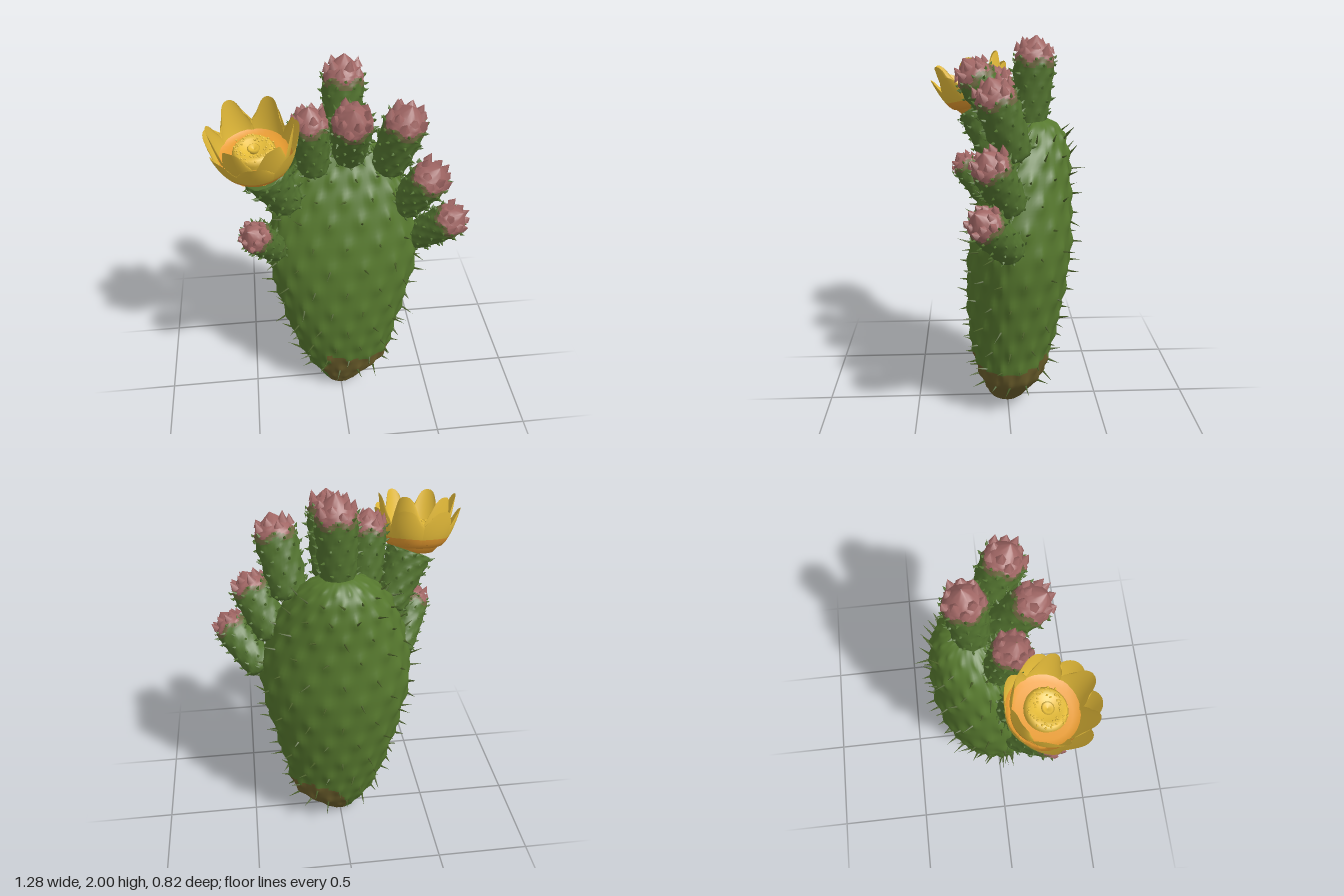
import * as THREE from 'three';
import { mergeGeometries } from 'three/addons/utils/BufferGeometryUtils.js';

const mat = (name, color, side = THREE.FrontSide) => {
  const m = new THREE.MeshStandardMaterial({ color, side });
  m.name = name;
  return m;
};
const V = (x, y, z) => new THREE.Vector3(x, y, z);
const UP = V(0, 1, 0);

function seeded(seed) {
  return () => {
    seed = (seed * 16807) % 2147483647;
    return seed / 2147483647;
  };
}

// Diagonal lattice of tubercles, 1 on each node and 0 between
const bump = (u, v, cols, rows) => {
  const p = u * cols, q = (v * rows) / 2;
  return Math.pow(Math.abs(Math.cos(Math.PI * (p + q)) * Math.cos(Math.PI * (p - q))), 3);
};

// Closed skin around the y axis; pick(point) returns the material index of a face
function skin(point, nu, nv, pick) {
  const pos = [], faces = [[], [], []];
  for (let j = 0; j <= nv; j++)
    for (let i = 0; i < nu; i++) pos.push(...point(i / nu, j / nv).toArray());
  for (let j = 0; j < nv; j++)
    for (let i = 0; i < nu; i++) {
      const a = j * nu + i, b = j * nu + ((i + 1) % nu), c = a + nu, d = b + nu;
      const mid = point((i + 0.5) / nu, (j + 0.5) / nv);
      faces[pick(mid)].push(a, c, b, b, c, d);
    }
  const geo = new THREE.BufferGeometry();
  geo.setAttribute('position', new THREE.Float32BufferAttribute(pos, 3));
  geo.setIndex(faces.flat());
  let start = 0;
  faces.forEach((f, i) => {
    if (f.length) geo.addGroup(start, f.length, i);
    start += f.length;
  });
  geo.computeVertexNormals();
  return geo;
}

// Thin cones on the lattice nodes with j0 <= row < j1
function spikes(point, cols, rows, j0, j1, radius, length, lift, rand) {
  const out = [];
  for (let j = j0; j < j1; j++)
    for (let i = 0; i < cols; i++) {
      const u = (i + (j % 2) / 2) / cols, v = j / rows, e = 0.004;
      const p = point(u, v);
      const du = point(u + e, v).sub(p), dv = point(u, v + e).sub(p);
      const dir = dv.cross(du).normalize();
      dir.add(V(rand() - 0.5, rand() - 0.5 + lift, rand() - 0.5).multiplyScalar(0.8)).normalize();
      const h = length * (0.6 + 0.8 * rand());
      const cone = new THREE.ConeGeometry(radius, h, 5, 1, true);
      cone.translate(0, h * 0.42, 0);
      cone.applyQuaternion(new THREE.Quaternion().setFromUnitVectors(UP, dir));
      cone.translate(p.x, p.y, p.z);
      out.push(cone);
    }
  return mergeGeometries(out);
}

// Broad round petal wrapped around the y axis; orange at the foot
function petalGeometry(r0, r1, height, width, flare) {
  const geo = new THREE.PlaneGeometry(1, 1, 12, 8);
  const p = geo.attributes.position;
  for (let i = 0; i < p.count; i++) {
    const s = p.getX(i), t = p.getY(i) + 0.5;
    const w = width * Math.sqrt(Math.sin(Math.PI * (0.16 + 0.68 * t)));
    const r = r0 + (r1 - r0) * Math.pow(t, flare);
    const a = (s * w) / r;
    const rc = r - 0.1 * s * s * t;
    const sag = 0.3 * Math.pow(Math.abs(2 * s), 2.6) * t * t;
    p.setXYZ(i, Math.sin(a) * rc, height * (Math.pow(t, 1.2) - sag), Math.cos(a) * rc);
  }
  geo.clearGroups();
  geo.addGroup(0, 72 * 5, 0);
  geo.addGroup(72 * 5, 72 * 3, 1);
  geo.computeVertexNormals();
  return geo;
}

export function createModel() {
  const green = mat('pad green', 0x56782e);
  const brown = mat('woody brown', 0x6a5d2b);
  const budGreen = mat('bud green', 0x537430);
  const budOlive = mat('bud olive', 0x6d6840);
  const pink = mat('bud pink', 0xa06664);
  const spineMat = mat('spine olive', 0x4c6229);
  const yellow = mat('petal yellow', 0xe8be3a, THREE.DoubleSide);
  const orange = mat('petal orange', 0xea9d30, THREE.DoubleSide);
  const model = new THREE.Group();
  const rand = seeded(71);
  const add = (parent, name, geo, material) => {
    const m = new THREE.Mesh(geo, material);
    m.name = name;
    parent.add(m);
    return m;
  };

  // Main pad: y, left x, right x, front z, back z, z of the edges
  const rows = [
    [0, -0.001, 0.001, 0.001, -0.001, 0], [0.006, -0.075, 0.075, 0.08, -0.065, 0],
    [0.08, -0.125, 0.155, 0.12, -0.125, 0], [0.2, -0.195, 0.265, 0.16, -0.195, 0],
    [0.36, -0.25, 0.3, 0.195, -0.24, 0], [0.54, -0.3, 0.34, 0.21, -0.28, 0],
    [0.73, -0.34, 0.38, 0.21, -0.31, 0], [0.92, -0.37, 0.41, 0.195, -0.33, 0],
    [1.1, -0.355, 0.395, 0.16, -0.33, 0], [1.27, -0.31, 0.345, 0.11, -0.32, -0.02],
    [1.41, -0.25, 0.28, 0.05, -0.31, -0.05], [1.52, -0.165, 0.2, -0.01, -0.28, -0.09],
    [1.58, -0.075, 0.11, -0.06, -0.22, -0.12], [1.598, 0.019, 0.021, -0.119, -0.121, -0.12],
  ];
  const curve = (f) => new THREE.CatmullRomCurve3(rows.map(f), false, 'catmullrom');
  const widths = curve((r) => V(r[1], r[0], r[2]));
  const depths = curve((r) => V(r[3], r[5], r[4]));
  const padPoint = (u, v) => {
    const k = Math.min(1, Math.max(0, v));
    const w = widths.getPoint(k), d = depths.getPoint(k);
    const c = Math.cos(u * 2 * Math.PI), s = Math.sin(u * 2 * Math.PI);
    const fade = Math.min(1, 16 * k * k, 5 * (1 - k));
    const g = 0.017 * fade * bump(u, k, 14, 18);
    return V((w.x + w.z) / 2 + ((w.z - w.x) / 2 + g) * c, Math.max(0, w.y),
      d.y + ((s > 0 ? d.x - d.y : d.y - d.z) + g) * s);
  };
  // Woody patch at the foot, on the left side of the pad
  const woody = (p) => (p.x > -0.09 + 0.45 * Math.max(0, -p.z) + 0.02 * Math.sin(30 * p.y) &&
    p.y < 0.3 + 0.025 * Math.sin(14 * p.x + 9 * p.z + 1) ? 1 : 0);
  const pad = new THREE.Group();
  pad.name = 'pad';
  add(pad, 'padSkin', skin(padPoint, 112, 108, woody), [green, brown]);
  add(pad, 'padSpines', spikes(padPoint, 14, 18, 4, 16, 0.0065, 0.06, 0.1, rand), spineMat);
  model.add(pad);

  // Skin profile of a bud (t, r) and of the flower stem
  const budProfile = [[0, 0.4], [0.05, 0.8], [0.25, 0.92], [0.5, 0.98], [0.7, 1], [0.81, 0.88], [0.9, 0.55], [1, 0.02]];
  const stemProfile = [[0, 0.3], [0.06, 0.7], [0.35, 0.8], [0.7, 0.92], [0.95, 1], [1, 0.85], [1, 0.02]];
  function stalk(name, base, tip, radius, profile, isBud) {
    const g = new THREE.Group();
    g.name = name;
    const dir = V(...tip).sub(V(...base)), len = dir.length();
    const line = new THREE.SplineCurve(profile.map(([t, r]) => new THREE.Vector2(r * radius, t * len)));
    const point = (u, v) => {
      const k = Math.min(1, Math.max(0, v)), q = line.getPoint(k);
      const r = Math.max(0.001, q.x + 0.1 * radius * Math.min(1, 3 * (1 - k)) * bump(u, k, 8, 12));
      return V(r * Math.cos(u * 2 * Math.PI), q.y, r * Math.sin(u * 2 * Math.PI));
    };
    // Green body, olive band, pink cap
    const ripe = (p) => {
      const t = p.y / len + 0.03 * Math.sin(5 * Math.atan2(p.z, p.x));
      return !isBud || t < 0.7 ? 0 : t < 0.77 ? 1 : 2;
    };
    add(g, 'skin', skin(point, 40, 36, ripe), [budGreen, budOlive, pink]);
    add(g, 'scales', spikes(point, 8, 12, 2, 9, radius * 0.09, radius * 0.22, 0.7, rand), budGreen);
    // Closed petals lying against the cap
    if (isBud) add(g, 'capPetals', spikes(point, 5, 12, 9, 11, radius * 0.27, radius * 0.42, 3.2, rand), pink);
    g.position.set(...base);
    g.quaternion.setFromUnitVectors(UP, dir.normalize());
    model.add(g);
  }

  // Buds around the rim: base, tip, radius
  [
    [[-0.33, 1.02, 0.05], [-0.465, 1.31, 0.27], 0.078],
    [[-0.125, 1.45, -0.01], [-0.15, 1.84, 0.07], 0.088],
    [[0.02, 1.54, -0.11], [0.04, 2.0, -0.14], 0.097],
    [[0.05, 1.52, -0.02], [0.04, 1.89, 0.22], 0.095],
    [[0.245, 1.43, -0.03], [0.325, 1.83, 0.1], 0.1],
    [[0.33, 1.2, -0.01], [0.475, 1.51, 0.13], 0.096],
    [[0.4, 1.0, -0.01], [0.605, 1.26, 0.17], 0.088],
  ].forEach(([b, t, r], i) => stalk('bud' + (i + 1), b, t, r, budProfile, true));
  stalk('flowerStem', [-0.26, 1.3, 0.04], [-0.375, 1.57, 0.14], 0.112, stemProfile, false);

  // Open flower
  const flower = new THREE.Group();
  flower.name = 'flower';
  const ring = (name, geo, count, turn, mats) => {
    for (let i = 0; i < count; i++) {
      const m = add(flower, name, geo, mats);
      m.rotation.y = turn + (i / count) * 2 * Math.PI;
    }
  };
  ring('outerPetal', petalGeometry(0.1, 0.22, 0.2, 0.23, 0.5), 7, 0, [yellow, orange]);
  ring('innerPetal', petalGeometry(0.1, 0.195, 0.265, 0.19, 0.45), 6, Math.PI / 6, [yellow, orange]);
  ring('sepal', petalGeometry(0.08, 0.16, 0.035, 0.09, 0.9), 10, 0.2, orange);
  const lathe = (pts) => new THREE.LatheGeometry(pts.map(([x, y]) => new THREE.Vector2(x, y)), 32);
  add(flower, 'cup', lathe([[0, -0.03], [0.1, -0.02], [0.14, 0.03], [0.155, 0.08]]), orange);
  add(flower, 'cupFloor', lathe([[0.16, 0.09], [0.13, 0.075], [0, 0.07]]), orange);
  add(flower, 'stamenDisc', lathe([[0.085, 0.02], [0.1, 0.1], [0.085, 0.122], [0.06, 0.122], [0.045, 0.105], [0, 0.1]]), yellow);
  const grains = [];
  for (let i = 0; i < 60; i++) {
    const a = i * 2.39996, r = 0.05 + 0.045 * rand();
    grains.push(new THREE.IcosahedronGeometry(0.006, 0).translate(r * Math.cos(a), 0.119 + 0.006 * rand(), r * Math.sin(a)));
  }
  add(flower, 'stamens', mergeGeometries(grains), yellow);
  add(flower, 'pistil', lathe([[0.02, 0.08], [0.022, 0.11], [0.03, 0.12], [0.022, 0.126], [0, 0.112]]), yellow);
  flower.position.set(-0.4, 1.59, 0.145);
  flower.quaternion.setFromUnitVectors(UP, V(-0.06, 1, 0.25).normalize());
  model.add(flower);
  return model;
}
